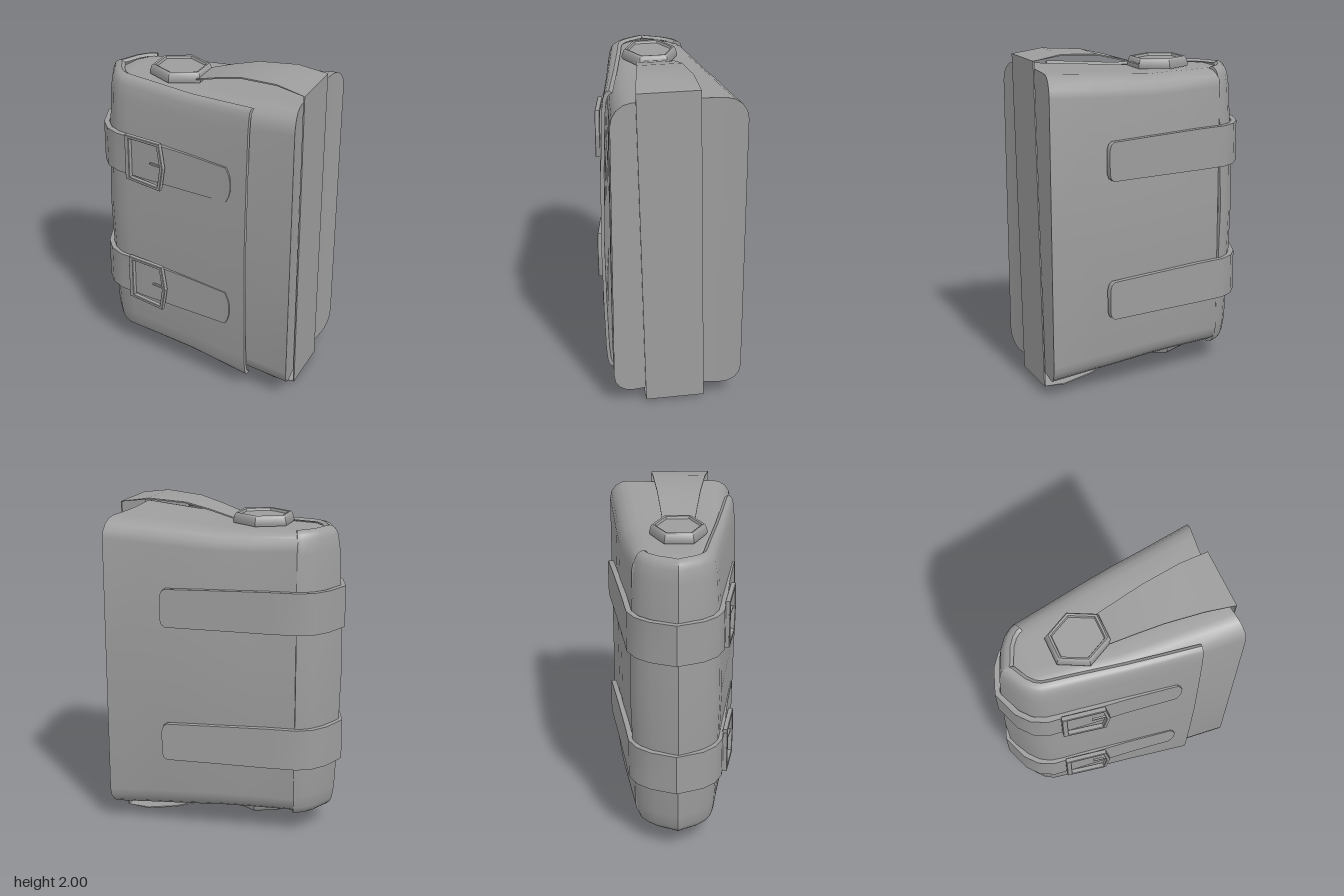
import * as THREE from 'three';
import { toCreasedNormals } from 'three/addons/utils/BufferGeometryUtils.js';

const MID = 1.005; // height of the bag's middle
const lerp = THREE.MathUtils.lerp;

// Skin a row of closed rings; point j of a ring lies opposite point n-1-j, which closes the ends.
function loft(rings, crease = 0.6) {
  const n = rings[0].length, pos = rings.flat(2), idx = [];
  for (let i = 0; i < rings.length - 1; i++) {
    for (let j = 0; j < n; j++) {
      const a = i * n + j, b = i * n + (j + 1) % n;
      idx.push(a, b, a + n, b, b + n, a + n);
    }
  }
  const last = (rings.length - 1) * n;
  for (let j = 0; j < n / 2 - 1; j++) {
    const [a, b, c, d] = [j, j + 1, n - 2 - j, n - 1 - j];
    idx.push(a, c, b, a, d, c);
    idx.push(last + a, last + b, last + c, last + a, last + c, last + d);
  }
  // turn the faces outward
  const P = (i) => new THREE.Vector3().fromArray(pos, i * 3);
  let volume = 0;
  for (let i = 0; i < idx.length; i += 3) volume += P(idx[i]).dot(P(idx[i + 1]).cross(P(idx[i + 2])));
  if (volume < 0) idx.reverse();
  const g = new THREE.BufferGeometry();
  g.setAttribute('position', new THREE.Float32BufferAttribute(pos, 3));
  g.setIndex(idx);
  return toCreasedNormals(g, crease);
}

// Outward normals along a plan path of [x, z] points
function normals(path) {
  return path.map((p, i) => {
    const a = path[Math.max(i - 1, 0)], b = path[Math.min(i + 1, path.length - 1)];
    const l = Math.hypot(b[0] - a[0], b[1] - a[1]);
    return [-(b[1] - a[1]) / l, (b[0] - a[0]) / l];
  });
}

// Rounded rectangle across the bag, upper half from back to front, then the lower half
function bodyRing([x, half, back, front, r], dish = 0) {
  const up = [[0, back]];
  const corner = (z, s, t) => {
    const a = t * Math.PI / 2;
    up.push([half - r + r * Math.sin(a), z + s * r * (1 - Math.cos(a))]);
  };
  for (let k = 0; k <= 4; k++) corner(back, 1, k / 4);
  for (let k = 1; k < 6; k++) up.push([half, lerp(back + r, front - r, k / 6)]);
  for (let k = 4; k >= 0; k--) corner(front, -1, k / 4);
  up.push([0, front]);
  const point = (s) => ([y, z]) => [x - dish * (1 - (z / 0.388) ** 2), MID + s * y, z];
  return [...up.map(point(1)), ...up.map(point(-1)).reverse()];
}

export function createModel() {
  const group = new THREE.Group();
  const material = new THREE.MeshStandardMaterial({ color: 0x9d9d9d, side: THREE.DoubleSide });
  const add = (name, geometry, parent = group) => {
    const mesh = new THREE.Mesh(geometry, material);
    mesh.name = name;
    parent.add(mesh);
    return mesh;
  };

  // Bag body with a dished wide end: x, half height, back z, front z, corner radius
  const sections = [
    [-0.57, 0.84, -0.06, 0.08, 0.06], [-0.52, 0.862, -0.16, 0.17, 0.09],
    [-0.46, 0.865, -0.245, 0.22, 0.1], [-0.2, 0.865, -0.288, 0.265, 0.11],
    [0, 0.865, -0.32, 0.3, 0.11], [0.2, 0.88, -0.343, 0.325, 0.115],
    [0.4, 0.894, -0.361, 0.347, 0.12], [0.685, 0.912, -0.388, 0.374, 0.12],
  ];
  add('body', loft(sections.map((s, i) => bodyRing(s, i === sections.length - 1 ? 0.042 : 0))));

  // Flap wrapping the narrow end and the front
  const plan = [
    [-0.465, -0.256], [-0.5, -0.243], [-0.55, -0.205], [-0.6, -0.14], [-0.645, -0.04], [-0.664, 0.01],
    [-0.645, 0.06], [-0.6, 0.15], [-0.55, 0.21], [-0.49, 0.247], [-0.42, 0.262], [-0.3, 0.28],
    [0, 0.33], [0.2, 0.363], [0.41, 0.397],
  ];
  const planNormals = normals(plan);
  const upper = [[1, 0.085], [0.992, 0.06], [0.975, 0.043], [0.94, 0.03], [0.85, 0.018], [0.5, 0.003]];
  const profile = [...upper, [0, -0.01], ...upper.map(([y, d]) => [-y, d]).reverse()];
  add('flap', loft(plan.map(([x, z], i) => {
    const [nx, nz] = planNormals[i];
    const half = x < 0 ? lerp(0.872, 0.88, -x / 0.664) : lerp(0.872, 0.897, x / 0.41);
    const k = lerp(1, 0.65, THREE.MathUtils.clamp((x + 0.47) / 0.88, 0, 1));
    const side = (extra, shrink) => profile.map(([y, d]) => {
      const inset = d * k + extra;
      return [x - nx * inset, MID + y * half * shrink, z - nz * inset];
    });
    return [...side(0, 1), ...side(0.02, 0.985).reverse()];
  })));

  // Two closing straps: x, z, half width
  const strapPath = [
    [0.33, -0.387, 0.07], [0.32, -0.385, 0.1], [0.3, -0.382, 0.115], [0, -0.335, 0.12], [-0.3, -0.291, 0.125],
    [-0.48, -0.266, 0.125], [-0.56, -0.222, 0.125], [-0.62, -0.145, 0.125], [-0.675, 0, 0.125], [-0.62, 0.15, 0.125],
    [-0.56, 0.222, 0.125], [-0.48, 0.262, 0.125], [-0.3, 0.287, 0.125], [0, 0.325, 0.12],
    [0.28, 0.368, 0.11], [0.3, 0.371, 0.07], [0.31, 0.373, 0.03],
  ];
  const strapNormals = normals(strapPath);
  const strapGeometry = loft(strapPath.map(([x, z, h], i) => {
    const [nx, nz] = strapNormals[i];
    const point = (d, y) => [x + nx * d, y, z + nz * d];
    return [point(0.014, h), point(0.014, -h), point(-0.018, -h), point(-0.018, h)];
  }), 0.7);

  // Buckle frame with a pointed outer side
  const polygon = (Type, pts) => new Type(pts.map(([x, y]) => new THREE.Vector2(x, y)));
  const frame = polygon(THREE.Shape, [[-0.135, -0.142], [0.115, -0.15], [0.14, 0], [0.115, 0.15], [-0.135, 0.142]]);
  frame.holes.push(polygon(THREE.Path, [[-0.11, -0.13], [-0.11, 0.13], [0.102, 0.136], [0.124, 0], [0.102, -0.136]]));
  const frameGeometry = new THREE.ExtrudeGeometry(frame, {
    depth: 0.024, bevelThickness: 0.003, bevelSize: 0.003, bevelSegments: 1,
  });

  for (const [label, y] of [['upper', 1.41], ['lower', 0.575]]) {
    const strap = new THREE.Group();
    strap.name = label + 'Strap';
    strap.position.y = y;
    group.add(strap);
    add(label + 'StrapBand', strapGeometry, strap);
    const buckle = new THREE.Group();
    buckle.name = label + 'Buckle';
    buckle.position.set(-0.27, 0, 0.311);
    buckle.rotation.y = -0.19;
    strap.add(buckle);
    add('buckleFrame', frameGeometry, buckle);
    add('bucklePin', new THREE.BoxGeometry(0.085, 0.01, 0.012), buckle).position.set(0.08, 0, 0.008);
    add('buckleFold', new THREE.BoxGeometry(0.03, 0.24, 0.026), buckle).position.set(-0.125, 0, 0.008);
  }

  // Hexagonal studs with a sunken face, on the top and underside
  const studProfile = [[0, 0.04], [0.13, 0.04], [0.135, 0.054], [0.147, 0.057], [0.156, 0.048], [0.168, 0.008], [0.164, -0.004], [0, -0.004]]
    .map(([x, y]) => new THREE.Vector2(x, y)).reverse();
  const studGeometry = toCreasedNormals(new THREE.LatheGeometry(studProfile, 6).toNonIndexed(), 0.95);
  for (const [name, y, turn] of [['topStud', 1.88, 0], ['bottomStud', 0.13, Math.PI]]) {
    const stud = add(name, studGeometry);
    stud.position.set(-0.175, y, 0.022);
    stud.rotation.x = turn;
    stud.scale.x = 1.13;
  }

  // Carrying band from stud to stud over the wide end: x, y, back z, front z
  const band = [
    [-0.03, 1.9, -0.067, 0.122], [0.12, 1.945, -0.08, 0.145], [0.27, 1.982, -0.094, 0.168],
    [0.5, 1.996, -0.115, 0.204], [0.673, 1.972, -0.125, 0.232], [0.661, 0.016, -0.17, 0.18],
    [0.53, 0.004, -0.158, 0.172], [0.35, 0.028, -0.13, 0.16], [0.15, 0.085, -0.09, 0.14], [-0.03, 0.125, -0.06, 0.122],
  ];
  const bandNormals = normals(band);
  add('carryingBand', loft(band.map(([x, y, back, front], i) => {
    const [nx, ny] = bandNormals[i].map((v) => v * 0.004);
    return [[x + nx, y + ny, back], [x + nx, y + ny, front], [x - nx, y - ny, front], [x - nx, y - ny, back]];
  }), 0.5));

  return group;
}
